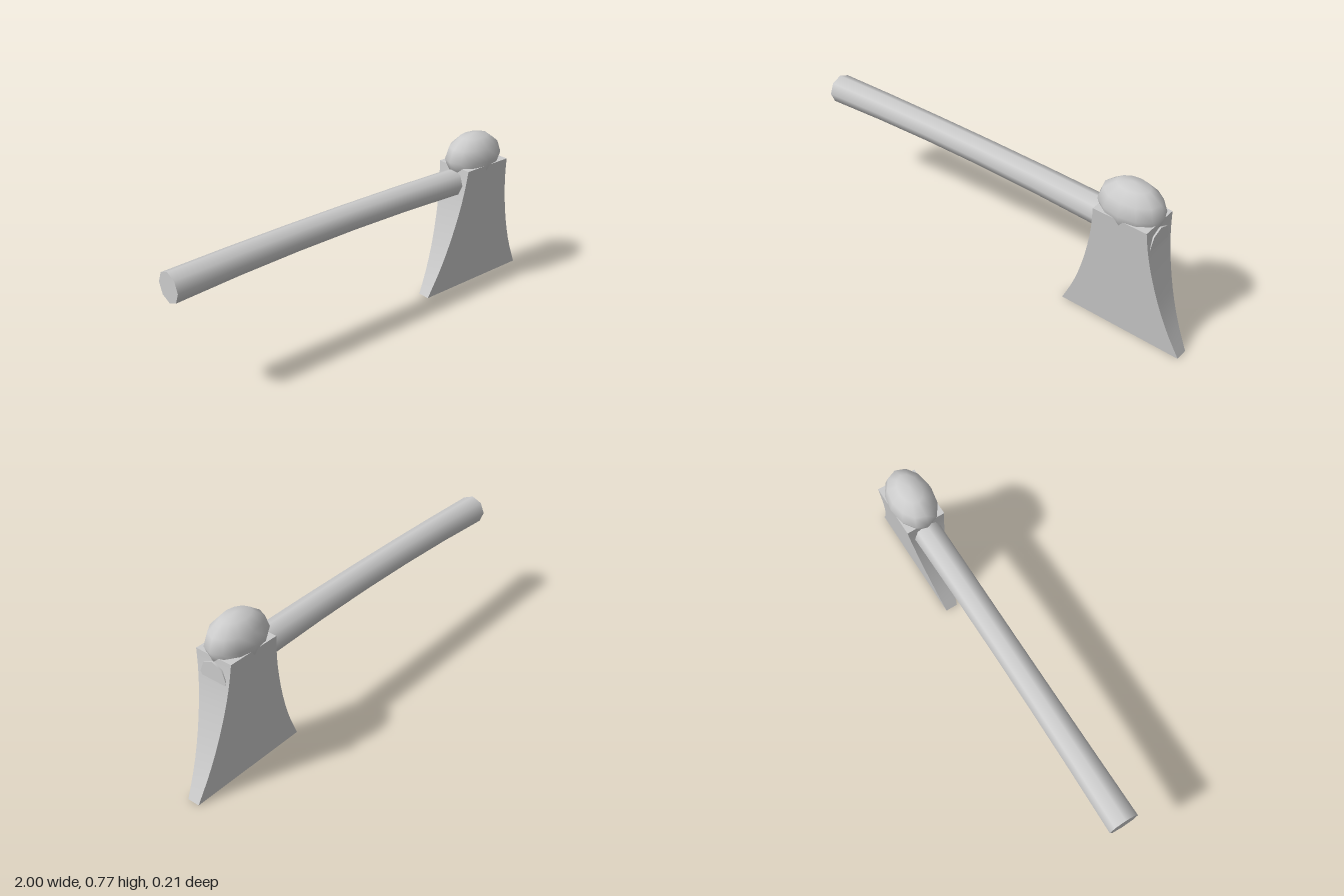
import * as THREE from 'three';
import { toCreasedNormals } from 'three/addons/utils/BufferGeometryUtils.js';

const metalGrey = new THREE.MeshStandardMaterial({ color: 0xcccccc });
metalGrey.name = 'lightGrey';

function part(name, geometry) {
  const mesh = new THREE.Mesh(geometry, metalGrey);
  mesh.name = name;
  return mesh;
}

// Apply a rule to every vertex of a geometry
function reshape(geometry, rule) {
  const p = geometry.attributes.position;
  const v = new THREE.Vector3();
  for (let i = 0; i < p.count; i++) {
    rule(v.fromBufferAttribute(p, i));
    p.setXYZ(i, v.x, v.y, v.z);
  }
  return geometry;
}

// Eight-sided shaft, gently arched and slimmer in the middle
function makeHandle() {
  const start = -1, end = 0.835;
  const half = (end - start) / 2, mid = (end + start) / 2;
  const geo = new THREE.CylinderGeometry(1, 1, half * 2, 8, 6);
  geo.rotateZ(-Math.PI / 2);
  reshape(geo, (v) => {
    const u = v.x / half;
    const r = 0.0625 + 0.0075 * u * u;
    v.set(v.x + mid, v.y * r + 0.543 + 0.024 * (1 - u * u), v.z * r);
  });
  return part('handle', geo);
}

// Flared blade: curved sides, thick at the top and thin at the cutting edge
function makeBlade() {
  const centre = 0.695, top = 0.635;
  const side = new THREE.SplineCurve([
    [0.305, 0], [0.245, 0.13], [0.196, 0.27], [0.158, 0.42], [0.138, 0.54], [0.13, top],
  ].map(([x, y]) => new THREE.Vector2(x, y))).getPoints(12);
  const mirrored = side.map((p) => new THREE.Vector2(-p.x, p.y)).reverse();
  const geo = new THREE.ExtrudeGeometry(new THREE.Shape([...side, ...mirrored]), {
    depth: 2, bevelEnabled: false,
  });
  geo.translate(centre, 0, -1);
  reshape(geo, (v) => { v.z *= 0.03 + 0.065 * v.y / top; });
  return part('blade', toCreasedNormals(geo, 0.5));
}

// Rounded cap on top of the head
function makeCap() {
  const geo = new THREE.SphereGeometry(1, 12, 6);
  geo.scale(0.155, 0.115, 0.105);
  geo.translate(0.69, 0.66, 0);
  return part('cap', geo);
}

export function createModel() {
  const axe = new THREE.Group();
  axe.name = 'axe';
  axe.add(makeHandle(), makeBlade(), makeCap());
  return axe;
}
